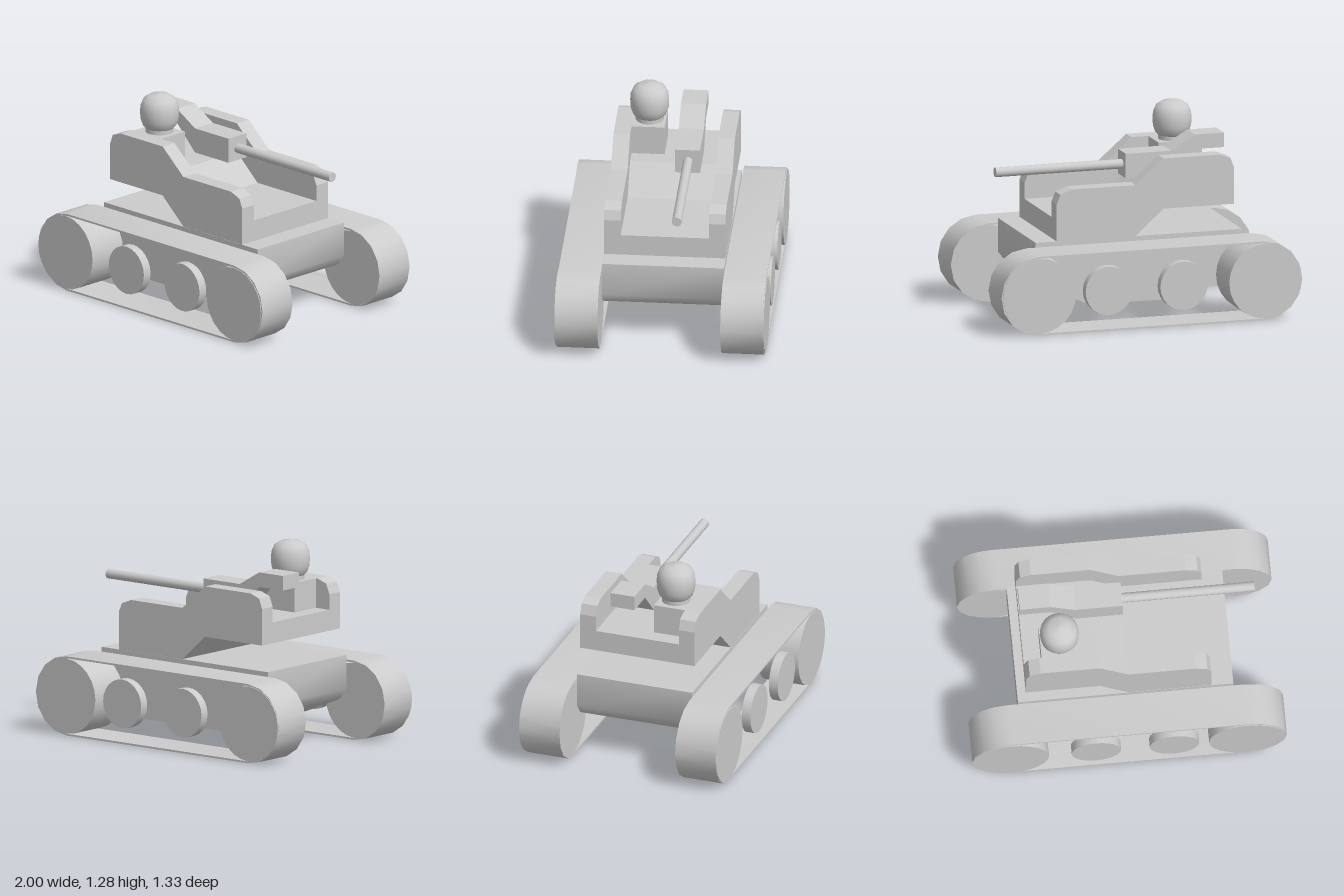
import * as THREE from 'three';
import { toCreasedNormals } from 'three/addons/utils/BufferGeometryUtils.js';

const material = new THREE.MeshStandardMaterial({ color: 0xcccccc });

function add(parent, name, geometry, x = 0, y = 0, z = 0) {
  const mesh = new THREE.Mesh(geometry, material);
  mesh.name = name;
  mesh.position.set(x, y, z);
  parent.add(mesh);
  return mesh;
}

const toPoints = (list) => list.map(([x, y]) => new THREE.Vector2(x, y));

// Side profile in x/y, pushed from z0 to z1
function slab(points, z0, z1, hole, crease = 0.3) {
  const shape = new THREE.Shape(toPoints(points));
  if (hole) shape.holes.push(new THREE.Path(toPoints(hole)));
  const geometry = new THREE.ExtrudeGeometry(shape, { depth: z1 - z0, bevelEnabled: false });
  geometry.translate(0, 0, z0);
  return toCreasedNormals(geometry, crease);
}

// Outline of a belt running round two end wheels
function stadium(radius, halfSpan, cy, steps = 8) {
  const points = [];
  for (const side of [1, -1]) {
    for (let i = 0; i <= steps; i++) {
      const a = -Math.PI / 2 + (Math.PI * i) / steps;
      points.push([side * (halfSpan + radius * Math.cos(a)), cy + side * radius * Math.sin(a)]);
    }
  }
  return points;
}

// Disc with its axle along z
function disc(radius, width, sides) {
  const geometry = new THREE.CylinderGeometry(radius, radius, width, sides);
  return geometry.rotateX(Math.PI / 2);
}

export function createModel() {
  const tank = new THREE.Group();
  tank.name = 'tank';

  // Hull with a rounded belly
  add(tank, 'hull', slab([
    [-0.685, 0.54], [-0.685, 0.32], [-0.63, 0.25], [-0.52, 0.205], [-0.3, 0.117],
    [0.33, 0.117], [0.51, 0.2], [0.63, 0.25], [0.685, 0.32], [0.685, 0.54],
  ], -0.388, 0.388, null, 0.7));

  // Tracks: belt, two full-width end wheels and two thin road wheels
  for (const side of [1, -1]) {
    const track = new THREE.Group();
    track.name = side > 0 ? 'frontTrack' : 'backTrack';
    add(track, 'belt', slab(stadium(0.255, 0.745, 0.255), -0.135, 0.135,
      stadium(0.243, 0.745, 0.255), 0.6));
    for (const x of [-0.755, 0.747]) add(track, 'endWheel', disc(0.242, 0.275, 24), x, 0.255, side * 0.0025);
    for (const x of [-0.212, 0.285]) add(track, 'roadWheel', disc(0.157, 0.06, 24), x, 0.26, side * 0.11);
    track.position.z = side * 0.525;
    tank.add(track);
  }

  // Cabin floor, stepped up toward the rear
  const underside = [[-0.635, 0.705], [-0.165, 0.705], [0.02, 0.54], [0.545, 0.54]];
  add(tank, 'cabinFloor', slab([
    ...underside, [0.545, 0.677], [0.02, 0.677], [-0.165, 0.84], [-0.635, 0.84],
  ], -0.28, 0.28));

  // Side armour following the same step
  for (const [z0, z1] of [[0.28, 0.386], [-0.386, -0.28]]) {
    add(tank, 'sideArmour', slab([
      ...underside, [0.545, 0.78], [0.52, 0.84], [0.445, 0.87], [0.02, 0.87],
      [-0.165, 1.03], [-0.54, 1.03], [-0.61, 1.005], [-0.635, 0.94],
    ], z0, z1));
  }

  // Gun: cranked breech block and barrel
  add(tank, 'gunBreech', slab([
    [-0.635, 1.03], [-0.44, 1.03], [-0.28, 0.87], [0.02, 0.87],
    [0.02, 1.03], [-0.28, 1.03], [-0.44, 1.124], [-0.635, 1.124],
  ], -0.18, -0.02));
  const barrel = new THREE.CylinderGeometry(0.031, 0.031, 0.85, 16).rotateZ(Math.PI / 2);
  add(tank, 'gunBarrel', barrel, 0.44, 0.95, -0.103);

  // Gunner: boxy body, neck and rounded head
  const gunner = new THREE.Group();
  gunner.name = 'gunner';
  add(gunner, 'body', new THREE.BoxGeometry(0.245, 0.2, 0.21), 0, 0.93, 0);
  add(gunner, 'neck', new THREE.CylinderGeometry(0.09, 0.09, 0.05, 20), 0, 1.045, 0);
  const head = new THREE.LatheGeometry(toPoints([
    [0, 1.05], [0.085, 1.052], [0.107, 1.075], [0.121, 1.115], [0.124, 1.16],
    [0.121, 1.205], [0.103, 1.247], [0.065, 1.273], [0, 1.283],
  ]), 24);
  add(gunner, 'head', head);
  gunner.position.set(-0.402, 0, 0.175);
  tank.add(gunner);

  return tank;
}
